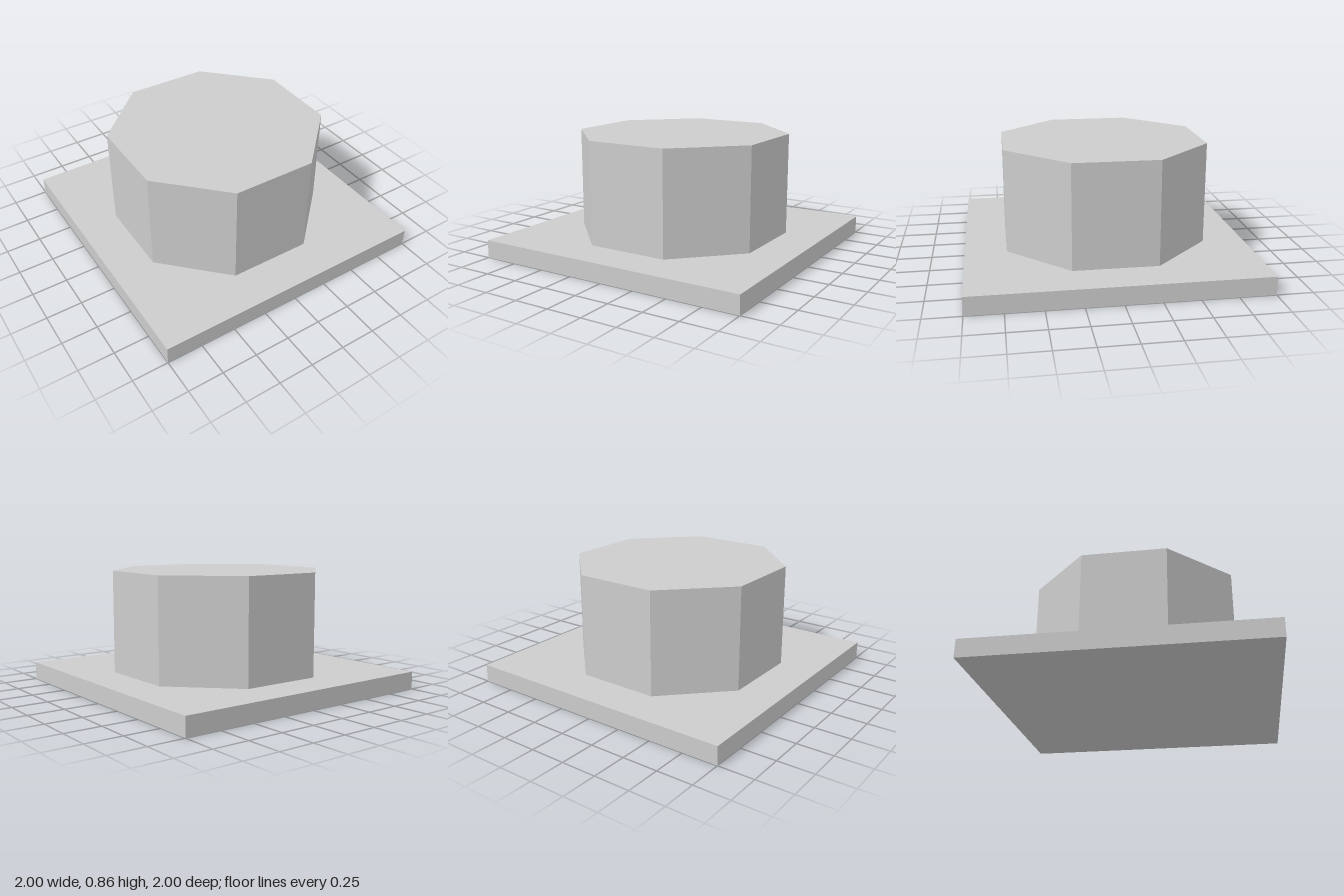
import * as THREE from 'three';

export function createModel() {
  const group = new THREE.Group();
  const grey = new THREE.MeshStandardMaterial({ color: 0xcccccc, flatShading: true });
  grey.name = 'light grey';

  const add = (name, geometry, y) => {
    const mesh = new THREE.Mesh(geometry, grey);
    mesh.name = name;
    mesh.position.y = y;
    group.add(mesh);
  };

  const plateHeight = 0.128;
  const studHeight = 0.728;

  // Square base plate
  add('basePlate', new THREE.BoxGeometry(2, plateHeight, 2), plateHeight / 2);

  // Octagonal stud, flats almost square to the plate
  const stud = new THREE.CylinderGeometry(0.766, 0.766, studHeight, 8, 1, false, THREE.MathUtils.degToRad(22.2));
  add('octagonalStud', stud, plateHeight + studHeight / 2);

  return group;
}
